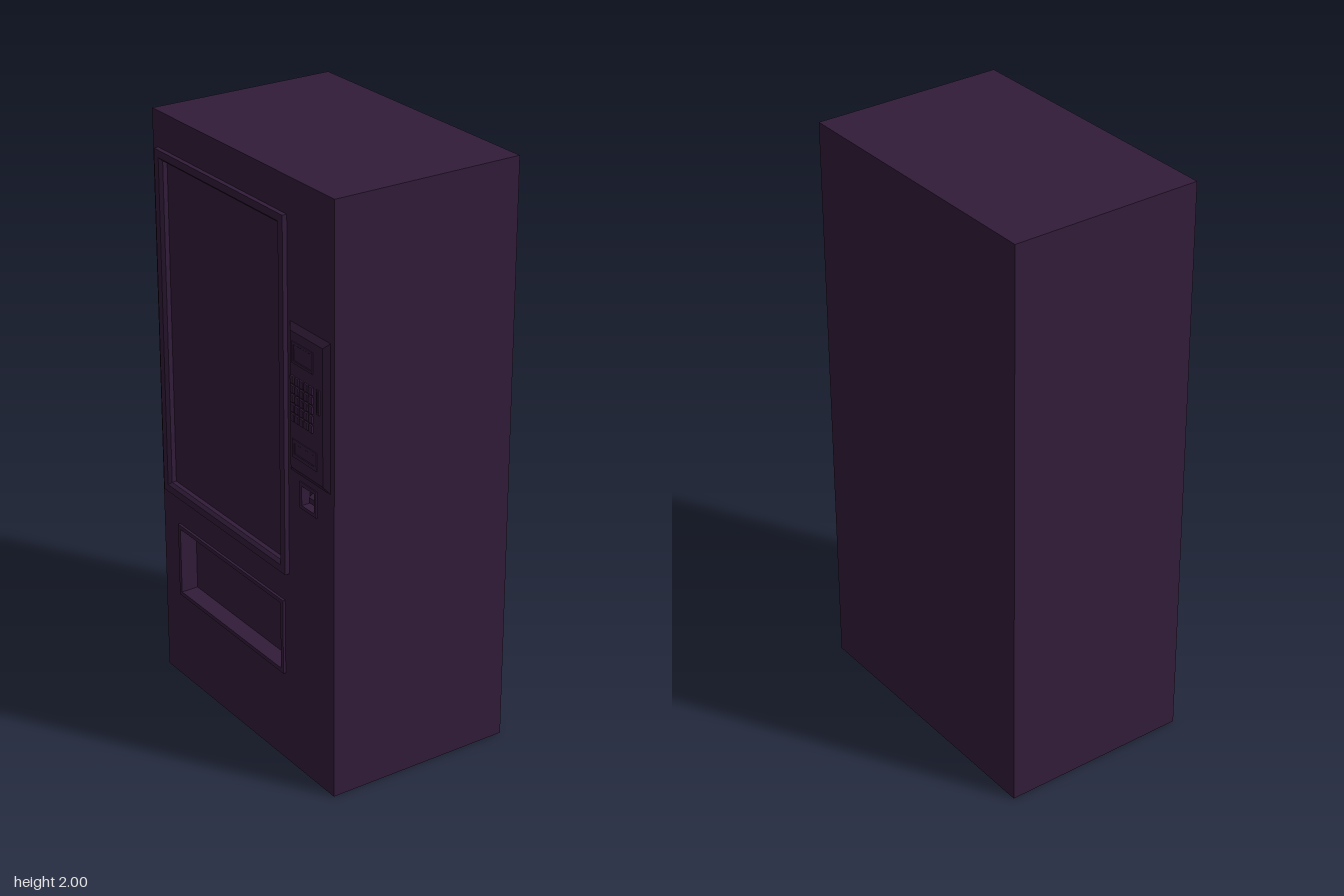
import * as THREE from 'three';

const material = new THREE.MeshStandardMaterial({ color: 0x321c3a, side: THREE.DoubleSide, flatShading: true });
const FRONT = 0.322, BACK = -0.342, HEIGHT = 2;

// Rectangles [x0, x1, y0, y1] of the cabinet face
const WINDOW = [-0.47, 0.255, 0.69, 1.88];
const TRAY = [-0.4, 0.23, 0.32, 0.585];
const COIN = [0.32, 0.41, 0.95, 1.04];
const PANEL = [0.268, 0.48, 1.06, 1.55];

const corners = ([x0, x1, y0, y1], inset) => [
  [x0 + inset, y0 + inset], [x1 - inset, y0 + inset],
  [x1 - inset, y1 - inset], [x0 + inset, y1 - inset],
];

// Nested rectangles joined by strips; steps are [inset, z], the last one is capped
function stepped(name, rect, steps) {
  const pos = [];
  const rings = steps.map(([inset, z]) => corners(rect, inset).map(([x, y]) => [x, y, z]));
  const quad = (a, b, c, d) => pos.push(...a, ...b, ...c, ...a, ...c, ...d);
  for (let i = 0; i + 1 < rings.length; i++) {
    for (let k = 0; k < 4; k++) {
      const n = (k + 1) % 4;
      quad(rings[i][k], rings[i][n], rings[i + 1][n], rings[i + 1][k]);
    }
  }
  quad(...rings[rings.length - 1]);
  const geometry = new THREE.BufferGeometry();
  geometry.setAttribute('position', new THREE.Float32BufferAttribute(pos, 3));
  geometry.computeVertexNormals();
  return named(name, geometry);
}

function named(name, geometry) {
  const mesh = new THREE.Mesh(geometry, material);
  mesh.name = name;
  return mesh;
}

export function createModel() {
  const machine = new THREE.Group();
  machine.name = 'vendingMachine';
  const depth = FRONT - BACK, mid = (FRONT + BACK) / 2;

  // Cabinet walls, open underneath
  for (const side of [-1, 1]) {
    const wall = named(side < 0 ? 'rightWall' : 'leftWall', new THREE.PlaneGeometry(depth, HEIGHT));
    wall.rotation.y = side * Math.PI / 2;
    wall.position.set(side * 0.5, HEIGHT / 2, mid);
    machine.add(wall);
  }
  const back = named('backWall', new THREE.PlaneGeometry(1, HEIGHT));
  back.rotation.y = Math.PI;
  back.position.set(0, HEIGHT / 2, BACK);
  const roof = named('roof', new THREE.PlaneGeometry(1, depth));
  roof.rotation.x = -Math.PI / 2;
  roof.position.set(0, HEIGHT, mid);
  machine.add(back, roof);

  // Face with openings for window, tray and coin return
  const toPoints = (rect, inset = 0) => corners(rect, inset).map(([x, y]) => new THREE.Vector2(x, y));
  const face = new THREE.Shape(toPoints([-0.5, 0.5, 0, HEIGHT]));
  for (const rect of [WINDOW, TRAY, COIN]) face.holes.push(new THREE.Path(toPoints(rect).reverse()));
  const frontWall = named('frontWall', new THREE.ShapeGeometry(face));
  frontWall.position.z = FRONT;
  machine.add(frontWall);

  // Framed window, delivery tray and coin return
  machine.add(
    stepped('window', WINDOW, [[0, FRONT], [0, 0.338], [0.025, 0.338], [0.035, 0.328], [0.035, 0.312]]),
    stepped('deliveryTray', TRAY, [[0, FRONT], [0, 0.331], [0.014, 0.331], [0.014, 0.27]]),
    stepped('coinReturn', COIN, [[0, FRONT], [0, 0.326], [0.012, 0.326], [0.012, 0.295]]),
    stepped('coinFlap', [0.345, 0.385, 0.97, 1.0], [[0, 0.295], [0.006, 0.312]]),
  );

  // Bevelled control panel with display, keypad and coin slot
  machine.add(
    stepped('controlPanel', PANEL, [[0, FRONT], [0.02, 0.336]]),
    stepped('display', [0.3, 0.41, 1.43, 1.5], [[0, 0.336], [0, 0.339], [0.008, 0.339], [0.01, 0.337]]),
    stepped('coinSlot', [0.43, 0.445, 1.31, 1.39], [[0, 0.336], [0, 0.34], [0.005, 0.34], [0.005, 0.337]]),
    stepped('noteSlot', [0.3, 0.43, 1.12, 1.18], [[0, 0.336], [0, 0.339], [0.012, 0.339], [0.014, 0.337]]),
  );
  const keypad = new THREE.Group();
  keypad.name = 'keypad';
  for (let row = 0; row < 5; row++) {
    for (let col = 0; col < 5; col++) {
      const x = 0.295 + col * 0.0245, y = 1.24 + row * 0.031;
      keypad.add(stepped('key', [x, x + 0.018, y, y + 0.024], [[0, 0.336], [0, 0.342], [0.002, 0.343]]));
    }
  }
  machine.add(keypad);

  // Turn the face towards -x
  machine.rotation.y = -Math.PI / 2;
  const model = new THREE.Group();
  model.add(machine);
  return model;
}
